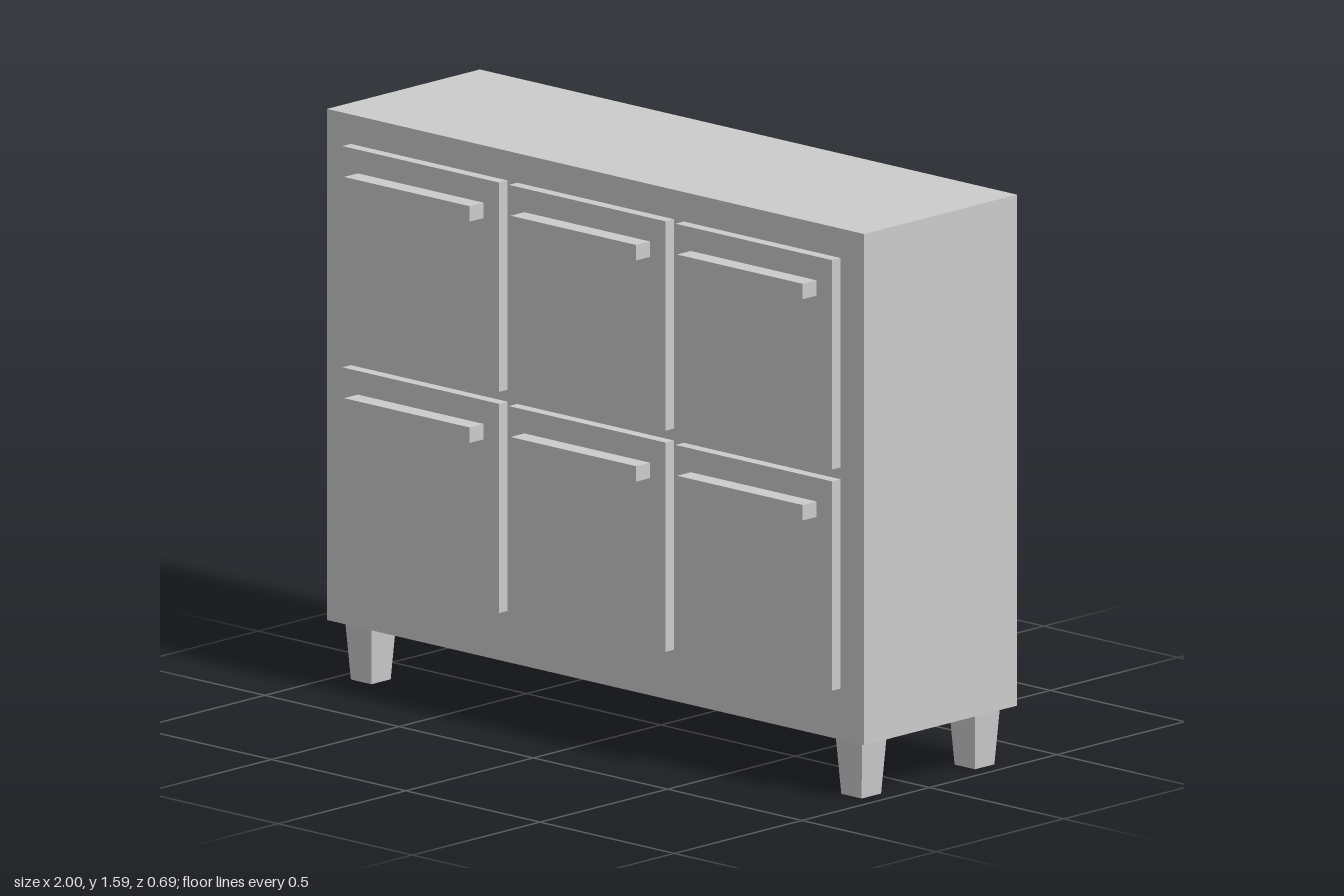
import * as THREE from 'three';

const material = new THREE.MeshStandardMaterial({ color: 0xcccccc, flatShading: true });

// Box given by its extents along each axis
function box(name, [x0, x1], [y0, y1], [z0, z1]) {
  const mesh = new THREE.Mesh(new THREE.BoxGeometry(x1 - x0, y1 - y0, z1 - z0), material);
  mesh.position.set((x0 + x1) / 2, (y0 + y1) / 2, (z0 + z1) / 2);
  mesh.name = name;
  return mesh;
}

export function createModel() {
  const model = new THREE.Group();
  model.name = 'drawerCabinet';

  const bodyBottom = 0.165, bodyFront = 0.256, drawerFront = 0.289, handleFront = 0.343;

  // Cabinet body
  model.add(box('body', [-1, 1], [bodyBottom, 1.588], [-0.343, bodyFront]));

  // Two rows of three drawers, each with a bar handle
  const drawerHalf = 0.2915, handleHalf = 0.234;
  [0.307, 0.923].forEach((y, row) => {
    [-0.62, 0, 0.62].forEach((x, column) => {
      const drawer = new THREE.Group();
      drawer.name = `drawer${row * 3 + column + 1}`;
      drawer.add(
        box('drawerFront', [x - drawerHalf, x + drawerHalf], [y, y + 0.583], [bodyFront, drawerFront]),
        box('handle', [x - handleHalf, x + handleHalf], [y + 0.474, y + 0.517], [drawerFront, handleFront])
      );
      model.add(drawer);
    });
  });

  // Square tapered legs
  const legGeometry = new THREE.CylinderGeometry(0.098 * Math.SQRT1_2, 0.076 * Math.SQRT1_2, bodyBottom, 4);
  legGeometry.rotateY(Math.PI / 4);
  for (const [side, x] of [['Left', 0.913], ['Right', -0.913]]) {
    for (const [end, z] of [['front', 0.176], ['back', -0.268]]) {
      const leg = new THREE.Mesh(legGeometry, material);
      leg.name = `${end}${side}Leg`;
      leg.position.set(x, bodyBottom / 2, z);
      model.add(leg);
    }
  }

  return model;
}
